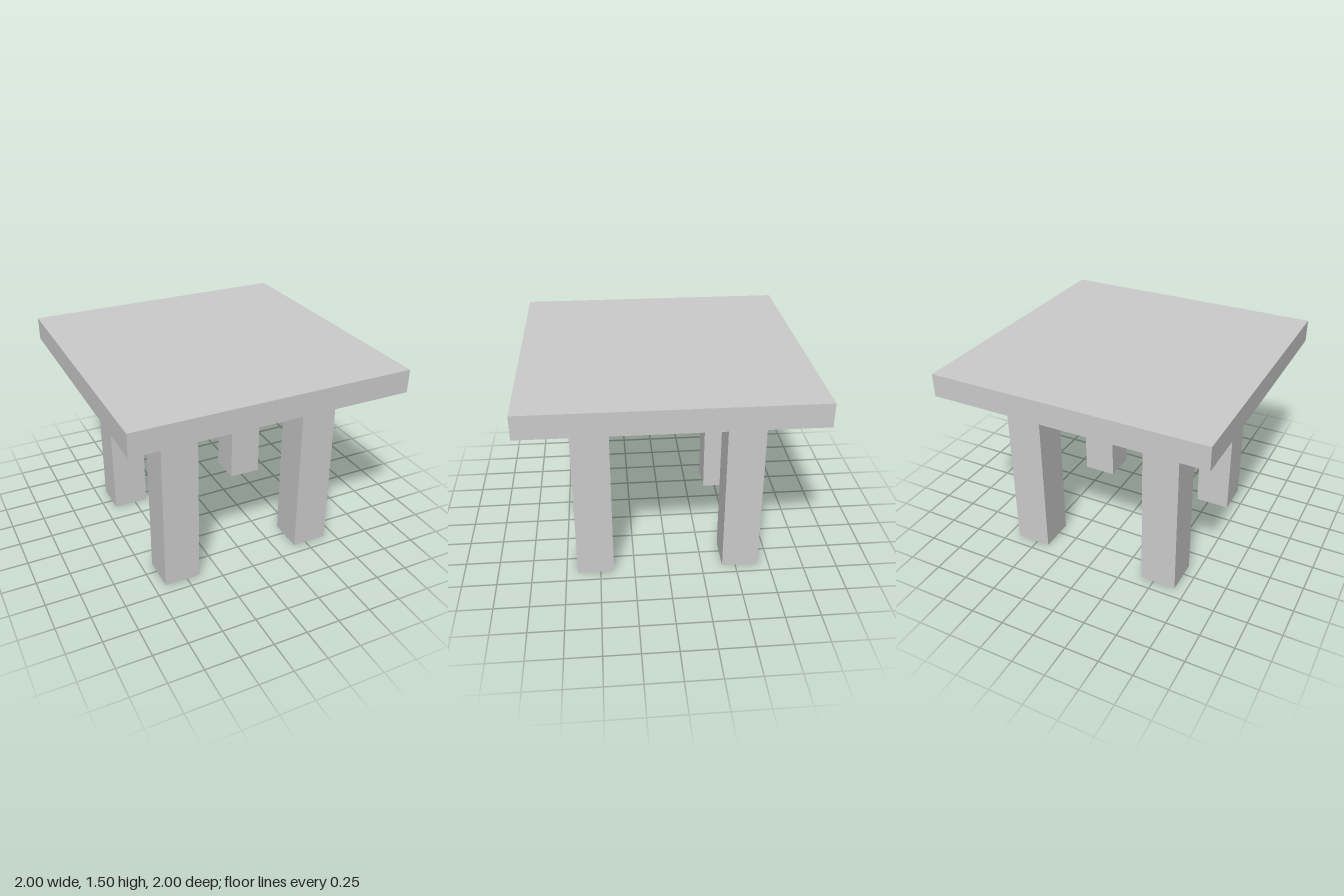
import * as THREE from 'three';

const LEG_HEIGHT = 1.335;
const LEG_WIDTH = 0.265;
const LEG_OFFSET = 0.535;
const TOP_HEIGHT = 0.167;

export function createModel() {
  const table = new THREE.Group();
  table.name = 'table';
  const material = new THREE.MeshStandardMaterial({
    color: 0xcccccc, flatShading: true, side: THREE.DoubleSide,
  });

  // Tabletop: a thin shell, open underneath (the box's bottom face is left out)
  const topGeometry = new THREE.BoxGeometry(2, TOP_HEIGHT, 2);
  const faces = Array.from(topGeometry.index.array);
  const bottom = topGeometry.groups[3];
  faces.splice(bottom.start, bottom.count);
  topGeometry.setIndex(faces);
  topGeometry.clearGroups();
  const tabletop = new THREE.Mesh(topGeometry, material);
  tabletop.name = 'tabletop';
  tabletop.position.y = LEG_HEIGHT + TOP_HEIGHT / 2;
  table.add(tabletop);

  // Four square legs, reaching up to the lower rim of the tabletop
  const legGeometry = new THREE.BoxGeometry(LEG_WIDTH, LEG_HEIGHT, LEG_WIDTH);
  for (const [sx, side] of [[1, 'Left'], [-1, 'Right']]) {
    for (const [sz, end] of [[1, 'front'], [-1, 'back']]) {
      const leg = new THREE.Mesh(legGeometry, material);
      leg.name = `${end}${side}Leg`;
      leg.position.set(sx * LEG_OFFSET, LEG_HEIGHT / 2, sz * LEG_OFFSET);
      table.add(leg);
    }
  }
  return table;
}
